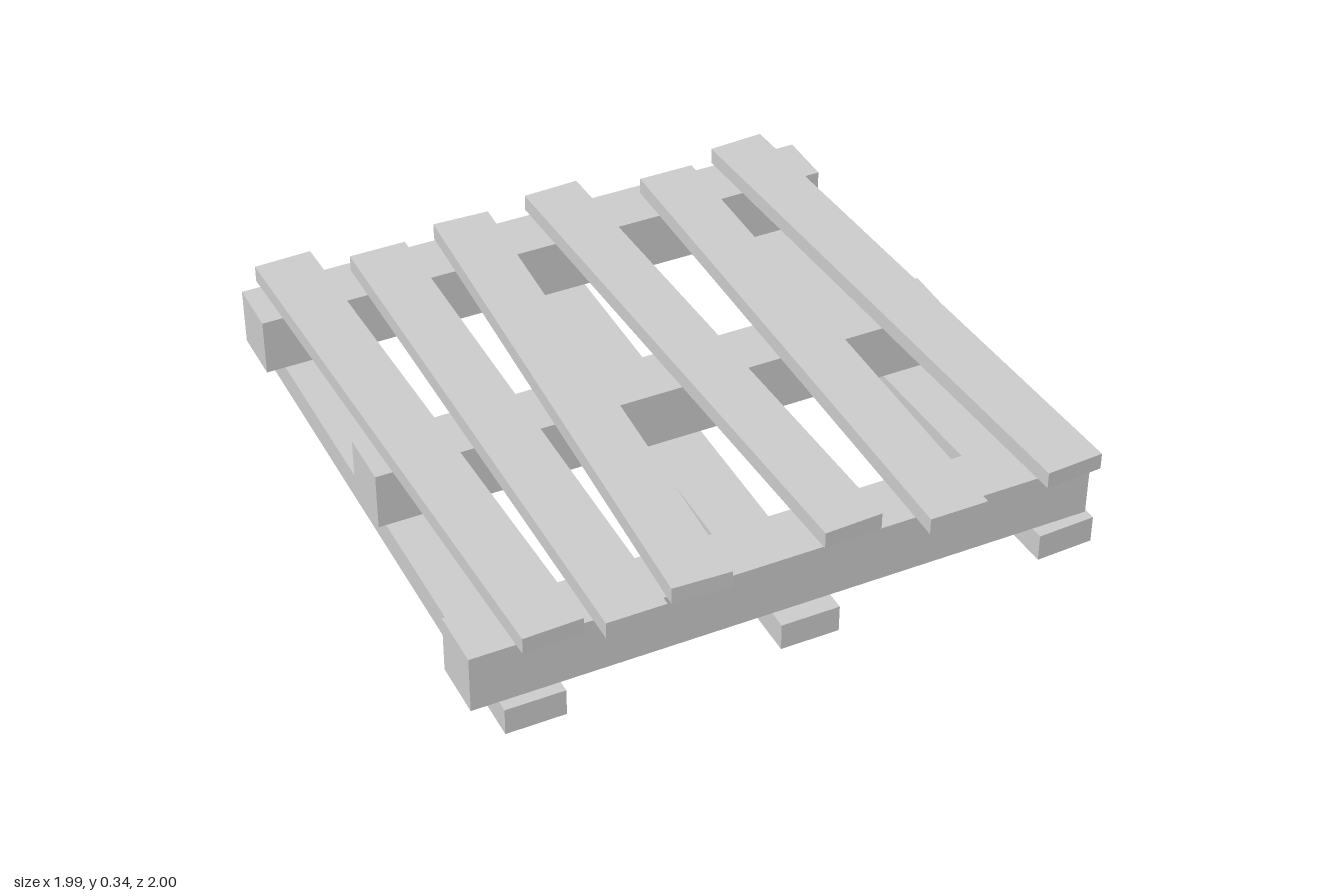
import * as THREE from 'three';

const WIDTH = 0.187;

export function createModel() {
  const pallet = new THREE.Group();
  pallet.name = 'pallet';
  const material = new THREE.MeshStandardMaterial({ color: 0xcccccc, flatShading: true });

  // A straight plank between two end centres [x, z], from height y0 to y1.
  function plank(name, [xa, za], [xb, zb], y0, y1) {
    const dx = xb - xa, dz = zb - za;
    const mesh = new THREE.Mesh(new THREE.BoxGeometry(WIDTH, y1 - y0, Math.hypot(dx, dz)), material);
    mesh.position.set((xa + xb) / 2, (y0 + y1) / 2, (za + zb) / 2);
    mesh.rotation.y = Math.atan2(dx, dz);
    mesh.name = name;
    pallet.add(mesh);
  }

  // Bottom runners, back end to front end; the last one is skewed.
  [
    [[-0.818, -0.965], [-0.818, 0.953]],
    [[0.03, -0.945], [0.03, 0.974]],
    [[0.808, -0.997], [0.894, 0.952]],
  ].forEach(([back, front], i) => plank(`bottomRunner${i + 1}`, back, front, 0, 0.09));

  // Thick cross beams running from side to side.
  [
    [-0.973, 0.978, -0.868],
    [-0.935, 0.978, -0.016],
    [-0.996, 0.98, 0.822],
  ].forEach(([x0, x1, z], i) => plank(`crossBeam${i + 1}`, [x0, z], [x1, z], 0.09, 0.28));

  // Loose top slats, nailed on slightly askew.
  [
    [[-0.819, -1.0], [-0.76, 0.955]],
    [[-0.529, -0.921], [-0.529, 0.998]],
    [[-0.223, -0.968], [-0.306, 0.951]],
    [[0.107, -0.998], [0.189, 0.919]],
    [[0.487, -0.921], [0.487, 0.998]],
    [[0.777, -0.986], [0.896, 0.96]],
  ].forEach(([back, front], i) => plank(`topSlat${i + 1}`, back, front, 0.28, 0.335));

  return pallet;
}
